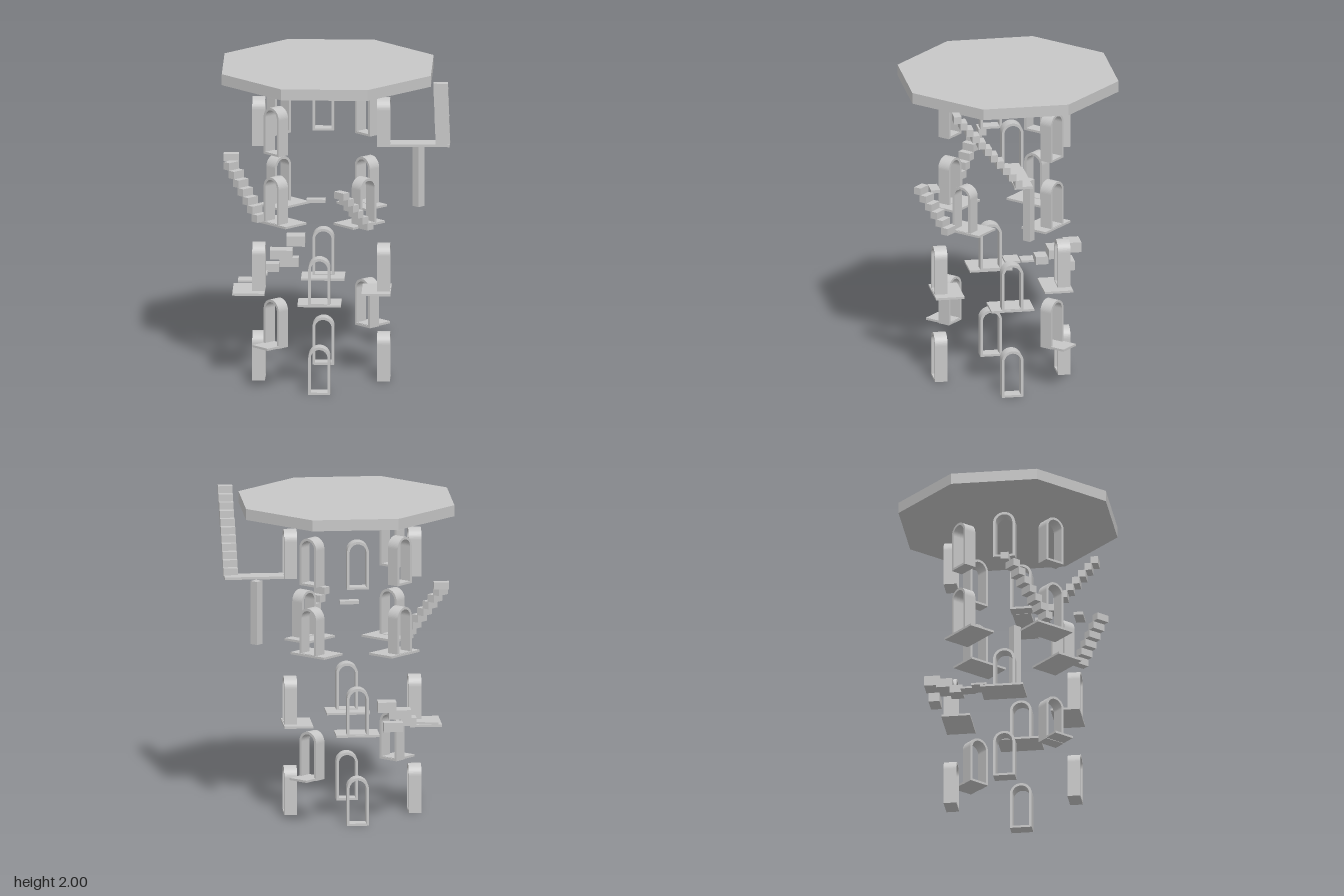
import * as THREE from 'three';

export function createModel() {
  const model = new THREE.Group();
  const stone = new THREE.MeshStandardMaterial({ color: 0xc6c6c6 });
  stone.name = 'grey stone';
  const CX = -0.098, CZ = 0.038, RING = 0.388; // axis and radius of the ring of arches

  function add(geometry, name, x, y, z, turn = 0) {
    const mesh = new THREE.Mesh(geometry, stone);
    mesh.name = name;
    mesh.position.set(x, y, z);
    mesh.rotation.y = turn;
    model.add(mesh);
    return mesh;
  }
  // box placed by its centre in x and z and by its underside in y
  const block = (name, w, h, d, x, y, z, turn = 0) =>
    add(new THREE.BoxGeometry(w, h, d), name, x, y + h / 2, z, turn);
  // position on the ring: eighth 0 = front, 2 = left (+x), 4 = back, 6 = right (-x)
  const onRing = (eighth, r) => {
    const a = eighth * Math.PI / 4;
    return { a, x: CX + r * Math.sin(a), z: CZ + r * Math.cos(a) };
  };

  // round-headed arch frame with a sill
  function archOutline(path, half, bottom, spring) {
    path.moveTo(-half, bottom);
    path.lineTo(half, bottom);
    path.lineTo(half, spring);
    path.absarc(0, spring, half, 0, Math.PI, false);
    path.lineTo(-half, bottom);
    return path;
  }
  const frame = archOutline(new THREE.Shape(), 0.068, 0, 0.235);
  frame.holes.push(archOutline(new THREE.Path(), 0.052, 0.014, 0.235));
  const archGeometry = new THREE.ExtrudeGeometry(frame, { depth: 0.08, bevelEnabled: false, curveSegments: 14 });
  archGeometry.translate(0, 0, -0.04);

  // tiers of arches, alternating between the sides and the corners
  const tiers = [
    { y: 0, at: [0, 2, 4, 6] },
    { y: 0.273, at: [3, 7] },
    { y: 0.567, at: [0, 2, 4, 6] },
    { y: 1.055, at: [1, 3, 5, 7] },
    { y: 1.5, at: [2, 3, 4, 5, 6, 7] },
  ];
  tiers.forEach(({ y, at }) => at.forEach((e) => {
    const p = onRing(e, RING);
    add(archGeometry, 'arch', p.x, y, p.z, p.a);
  }));

  // landings under the arches: [eighth, radius, width, depth, y]
  const landings = [
    [3, 0.437, 0.135, 0.17, 0.276], [7, 0.437, 0.135, 0.17, 0.276],
    [0, 0.343, 0.27, 0.18, 0.562], [2, 0.343, 0.27, 0.18, 0.562],
    [4, 0.343, 0.27, 0.18, 0.562], [6, 0.45, 0.27, 0.2, 0.558],
    [1, 0.343, 0.27, 0.18, 1.052], [3, 0.343, 0.27, 0.18, 1.052],
    [5, 0.343, 0.27, 0.18, 1.052], [7, 0.343, 0.27, 0.18, 1.052],
  ];
  landings.forEach(([e, r, w, d, y]) => {
    const p = onRing(e, r);
    block('landing', w, 0.014, d, p.x, y, p.z, p.a);
  });

  // winding steps around the back right corner: [w, h, d, x, y, z]
  [
    [0.12, 0.013, 0.095, -0.56, 0.586, -0.107],
    [0.09, 0.013, 0.085, -0.485, 0.608, -0.193],
    [0.1, 0.05, 0.08, -0.42, 0.613, -0.27],
    [0.12, 0.058, 0.068, -0.313, 0.605, -0.422],
    [0.14, 0.058, 0.1, -0.36, 0.673, -0.35],
    [0.115, 0.065, 0.1, -0.273, 0.735, -0.44],
  ].forEach((s) => block('windingStep', ...s));

  // straight diagonal flights from the fourth tier
  function flight(count, x, y, z, dx, rise, dz, turn) {
    for (let i = 0; i < count; i++) {
      block('flightStep', 0.085, rise, 0.05, x + dx * i, y + rise * i, z + dz * i, turn);
    }
  }
  flight(7, -0.475, 1.066, 0.29, -0.03, 0.048, -0.03, -Math.PI / 4 + Math.PI / 2);
  block('topStep', 0.095, 0.045, 0.05, -0.657, 1.4, 0.065);
  flight(6, 0.19, 1.055, 0.42, -0.029, 0.045, 0.029, -Math.PI / 4);
  block('floatingSlab', 0.118, 0.02, 0.058, -0.117, 1.235, 0.457);

  // upper walkway, its post and the stair to the roof
  block('walkway', 0.37, 0.016, 0.115, 0.516, 1.499, 0.033);
  block('post', 0.053, 0.4, 0.053, 0.503, 1.092, -0.033, Math.PI / 4);
  for (let i = 0; i < 11; i++) {
    block('roofStairStep', 0.09, 0.046, 0.046, 0.658, 1.512 + i * 0.0442, 0.064 + i * 0.0385);
  }

  // octagonal roof slab
  const roof = new THREE.CylinderGeometry(0.7036, 0.7036, 0.07, 8, 1).toNonIndexed();
  roof.computeVertexNormals();
  add(roof, 'roof', -0.06, 1.965, 0, Math.PI / 8);

  return model;
}
